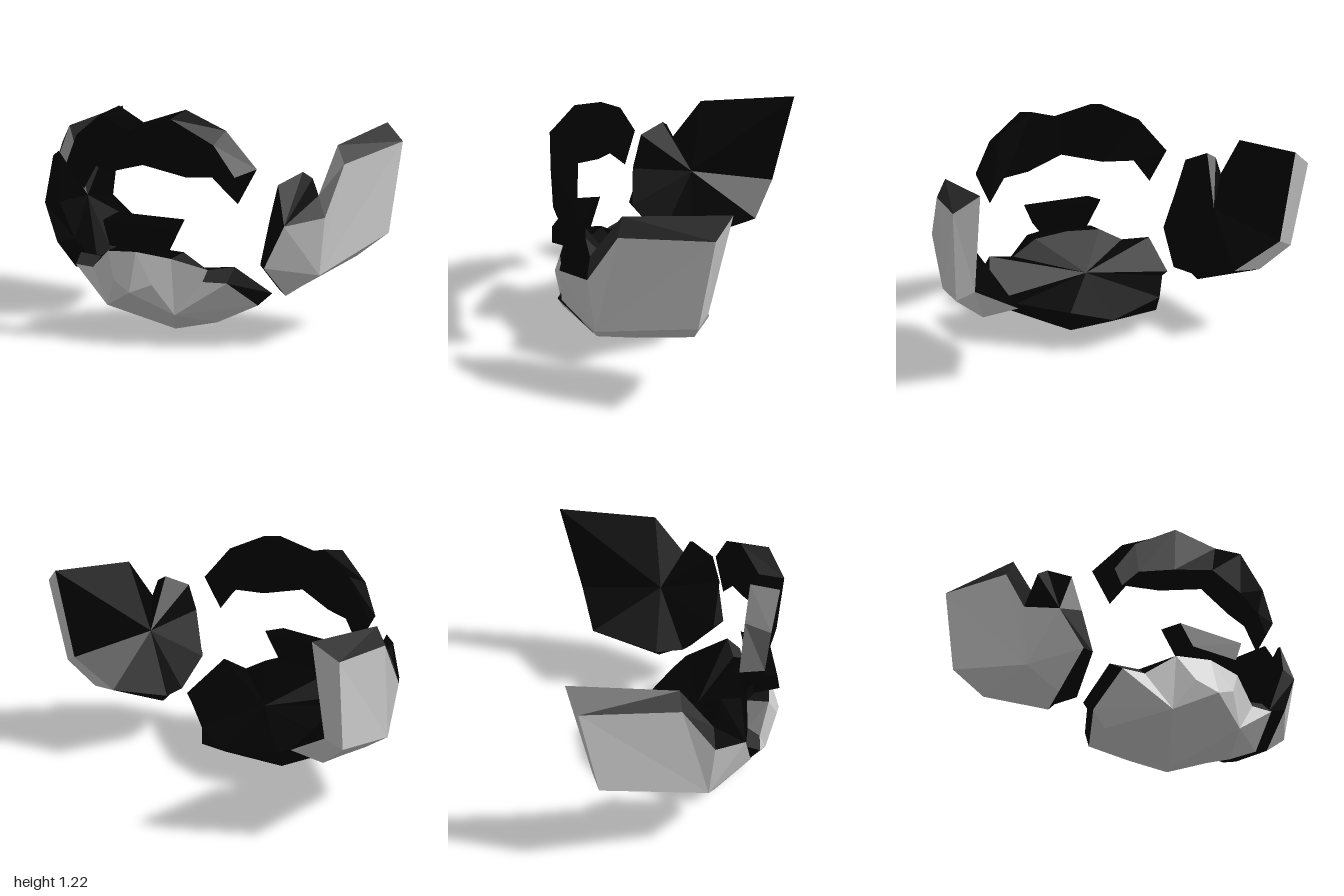
import * as THREE from 'three';

const flat = (color) => new THREE.MeshStandardMaterial({ color, flatShading: true, side: THREE.DoubleSide });
const grey = flat(0xcccccc), black = flat(0x020202), dark = flat(0x2c2c2c);
const V = (p) => new THREE.Vector3(...p);

// Flat-shaded facets from polygons (fanned), each turned away from (or toward) a reference point
function facets(name, polys, material, ref, sign = 1) {
  const pos = [], r = V(ref);
  for (const poly of polys) {
    for (let i = 1; i + 1 < poly.length; i++) {
      const [a, b, c] = [V(poly[0]), V(poly[i]), V(poly[i + 1])];
      const n = b.clone().sub(a).cross(c.clone().sub(a));
      const mid = a.clone().add(b).add(c).divideScalar(3).sub(r);
      const tri = n.dot(mid) * sign < 0 ? [a, c, b] : [a, b, c];
      tri.forEach((v) => pos.push(v.x, v.y, v.z));
    }
  }
  const g = new THREE.BufferGeometry();
  g.setAttribute('position', new THREE.Float32BufferAttribute(pos, 3));
  g.computeVertexNormals();
  const mesh = new THREE.Mesh(g, material);
  mesh.name = name;
  return mesh;
}

// Turns strings such as 'A C M' into polygons of named points
const pick = (points, list) => list.map((s) => s.split(' ').map((k) => points[k]));
const fan = (hub, loop) => loop.map((p, i) => [hub, p, loop[(i + 1) % loop.length]]);
const mirrorX = ([x, y, z]) => [-x, y, z];

// Left-hand points, or their mirror image with a few points changed
function sidePoints(side, points, rightChanges) {
  if (side > 0) return { ...points };
  const merged = Object.entries({ ...points, ...rightChanges });
  return Object.fromEntries(merged.map(([key, p]) => [key, mirrorX(p)]));
}

// Cheek wing: outer plates, bevelled rim and inner lining (lower-case = inner edge)
function wing(side) {
  const P = sidePoints(side, {
    A: [1, 1.02, -0.53], C: [0.91, 0.945, -0.03], F: [0.89, 0.69, 0.135], G: [0.76, 0.66, 0.32],
    K: [0.66, 0.44, 0.345], L: [0.68, 0.265, 0.155], N: [0.62, 0.25, -0.04], P: [0.81, 0.4, -0.39],
    Q: [0.97, 0.535, -0.445], M: [0.85, 0.385, 0.11],
    b: [0.88, 1.11, -0.587], d: [0.865, 1.04, -0.04], e: [0.85, 0.8, 0.13], g: [0.83, 0.89, 0.158],
    h: [0.78, 0.92, 0.17], i: [0.7, 0.86, 0.28], j: [0.68, 0.7, 0.32], k: [0.6, 0.44, 0.28],
    l: [0.6, 0.29, 0.1], n: [0.57, 0.3, -0.06], p: [0.63, 0.43, -0.425], r: [0.88, 0.58, -0.475],
    hub: [0.725, 0.65, -0.02],
  }, {
    G: [0.78, 0.645, 0.3], j: [0.66, 0.66, 0.32], k: [0.575, 0.46, 0.3],
    l: [0.55, 0.28, 0.12], n: [0.57, 0.3, -0.06],
  });
  const g = new THREE.Group();
  g.name = side > 0 ? 'leftCheekWing' : 'rightCheekWing';
  const ref = [side * 0.3, 0.7, -0.05];
  g.add(facets('wingOuterPlates', pick(P, [
    'C F M', 'A C M', 'A M Q', 'M Q P', 'M P N L', 'M L K', 'M K G', 'M G F',
  ]), grey, ref));
  g.add(facets('wingBackEdge', pick(P, ['A Q r b', 'P p r Q']), grey, P.hub));
  g.add(facets('wingBevel', pick(P, ['A b d C', 'C d e F']), dark, P.hub));
  g.add(facets('wingRim', pick(P, [
    'G F e g h i j', 'G j k K', 'K k l L', 'L l n N', 'N n p P',
  ]), black, P.hub));
  g.add(facets('wingLining', fan(P.hub, [...'bdeghijklnpr'].map((c) => P[c])), black, ref, -1));
  return g;
}

// Chin guard: faceted bowl, its two sides slightly different in width
function chin() {
  const g = new THREE.Group();
  g.name = 'chinGuard';
  const centre = {
    T0: [0, 0.485, 0.53], N0: [0, 0.28, 0.59], B0: [0, 0, 0.16], W: [0, 0.165, -0.205],
    t0: [0, 0.49, 0.4], w: [0, 0.18, -0.23], hub: [0, 0.33, 0.13],
  };
  const half = {
    T1: [0.2, 0.465, 0.5], T2: [0.35, 0.35, 0.435], T3: [0.49, 0.357, 0.425], U: [0.55, 0.21, 0.215],
    Z: [0.22, 0.13, -0.15], S: [0.215, 0.17, 0.49], N1: [0.12, 0.33, 0.56], B1: [0.33, 0.1, 0.26],
    t1: [0.2, 0.48, 0.38], t2: [0.34, 0.4, 0.37], t3: [0.49, 0.43, 0.35], u: [0.58, 0.26, 0.12],
    y: [0.46, 0.26, 0.03], z: [0.22, 0.23, -0.15],
  };
  const rightChanges = {
    T3: [0.475, 0.35, 0.42], U: [0.51, 0.19, 0.215], B1: [0.43, 0.11, 0.2], t3: [0.5, 0.4, 0.34],
    u: [0.51, 0.26, 0.12], y: [0.44, 0.27, 0.05], z: [0.32, 0.23, -0.15], Z: [0.32, 0.14, -0.11],
  };
  const ref = [0, 0.42, 0.15];
  for (const side of [1, -1]) {
    const P = { ...sidePoints(side, half, rightChanges), ...centre };
    g.add(facets('chinPlates', pick(P, [
      'T0 T1 N1 N0', 'T1 S N1', 'T1 T2 S', 'T2 T3 S', 'S T3 U B1', 'S B1 B0', 'N0 N1 S', 'N0 S B0',
      'B0 B1 U Z W',
    ]), grey, ref));
    g.add(facets('chinBevel', pick(P, ['T2 t2 t3 T3']), dark, [0, 0.1, 0.2]));
    g.add(facets('chinRim', pick(P, [
      'T0 t0 t1 T1', 'T1 t1 t2 T2', 'T3 t3 u U', 'U u y z Z', 'Z z w W',
    ]), black, [0, 0.1, 0.2]));
    const edge = ['t0', 't1', 't2', 't3', 'u', 'y', 'z', 'w'].map((k) => P[k]);
    g.add(facets('chinLining', fan(P.hub, edge).slice(0, -1), black, [0, 0.8, 0.15], -1));
  }
  return g;
}

// Solid lofted through four-cornered sections, capped at both ends
function loft(name, sections) {
  const g = new THREE.Group();
  g.name = name;
  for (let s = 0; s + 1 < sections.length; s++) {
    const [a, b] = [sections[s], sections[s + 1]];
    const all = [...a, ...b];
    const mid = [0, 1, 2].map((k) => all.reduce((t, p) => t + p[k], 0) / all.length);
    const polys = a.map((p, i) => [p, a[(i + 1) % 4], b[(i + 1) % 4], b[i]]);
    if (s === 0) polys.push(a);
    if (s === sections.length - 2) polys.push(b);
    g.add(facets(name + 'Segment', polys, black, mid));
  }
  return g;
}

export function createModel() {
  const model = new THREE.Group();
  model.name = 'faceArmour';
  model.add(wing(1), wing(-1), chin());

  // Brow band: front top, back top, back bottom, front bottom at each station
  const brow = [
    [[0, 1.12, 0.585], [0, 1.15, 0.45], [0, 0.93, 0.46], [0, 1, 0.56]],
    [[0.22, 1.185, 0.53], [0.21, 1.22, 0.375], [0.23, 0.875, 0.4], [0.22, 0.95, 0.52]],
    [[0.43, 1.06, 0.46], [0.42, 1.12, 0.325], [0.4, 0.88, 0.33], [0.4, 0.91, 0.45]],
    [[0.53, 0.9, 0.42], [0.578, 0.93, 0.283], [0.49, 0.75, 0.32], [0.48, 0.82, 0.415]],
  ];
  const otherHalf = brow.slice(1).reverse().map((s) => s.map(mirrorX));
  model.add(loft('browBand', [...otherHalf, ...brow]));

  // Mouth piece: tapered block resting just above the chin
  const mouth = [[0.2, 0.635, 0.54], [0.213, 0.655, 0.39], [0.14, 0.485, 0.43], [0.14, 0.51, 0.565]];
  model.add(loft('mouthPiece', [mouth.map(mirrorX), mouth]));
  return model;
}
